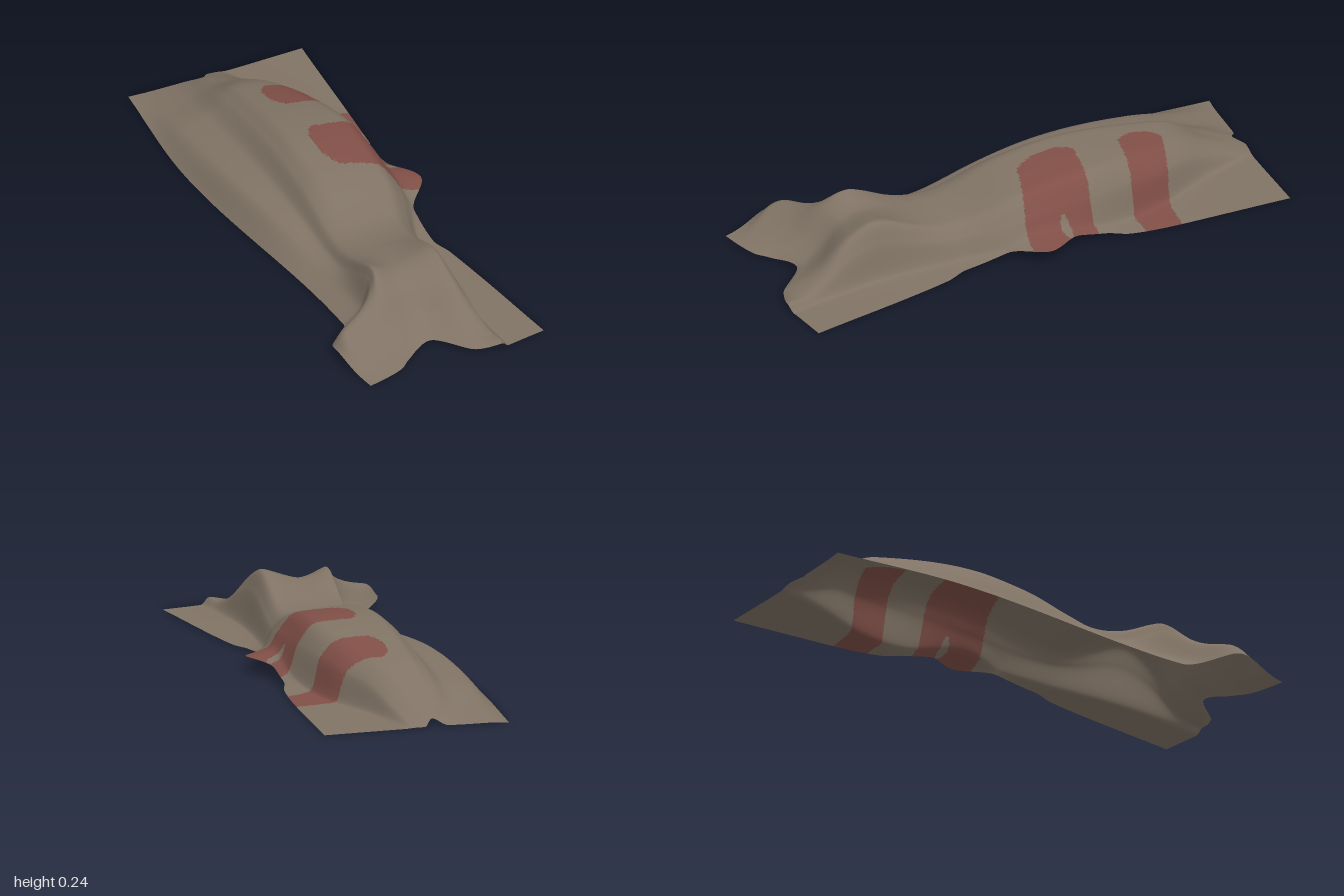
import * as THREE from 'three';

// Smooth curve through [t, value] points, without overshoot
function curve(...p) {
  const n = p.length;
  const d = p.slice(1).map((q, i) => (q[1] - p[i][1]) / (q[0] - p[i][0]));
  const m = p.map((_, i) => {
    if (i === 0) return d[0];
    if (i === n - 1) return d[n - 2];
    return d[i - 1] * d[i] <= 0 ? 0 : (2 * d[i - 1] * d[i]) / (d[i - 1] + d[i]);
  });
  return (t) => {
    let i = 0;
    while (i < n - 2 && t > p[i + 1][0]) i++;
    const h = p[i + 1][0] - p[i][0];
    const s = THREE.MathUtils.clamp((t - p[i][0]) / h, 0, 1);
    const s2 = s * s, s3 = s2 * s;
    return (2 * s3 - 3 * s2 + 1) * p[i][1] + (s3 - 2 * s2 + s) * h * m[i]
      + (3 * s2 - 2 * s3) * p[i + 1][1] + (s3 - s2) * h * m[i + 1];
  };
}
const bump = (centre, width) => (z) => Math.exp(-(((z - centre) / width) ** 2));

// Shapes under the cloth, along z
const spine = curve([-1, 0.005], [-0.85, 0.078], [-0.64, 0.182], [-0.2, 0.243], [0, 0.222], [0.3, 0.138],
  [0.6, 0.18], [0.72, 0.16], [0.86, 0.07], [1, 0]);
const arm = bump(-0.2, 0.45);
const knee = bump(0.61, 0.15);
const toes = bump(0.79, 0.11);
const lift = bump(-0.03, 0.22);
const frontLip = bump(1, 0.06);
const backLip = bump(-1, 0.1);

// Sideways run of the folds, along z
const leftHem = curve([-1, -0.32], [-0.5, -0.36], [0.6, -0.265], [0.77, -0.388], [1, -0.35]);
const leftFlank = (z) => leftHem(z) + 0.075 - 0.03 * toes(z);
const leftRidge = (z) => -0.12 - 0.03 * z;
const rightRidge = curve([-1, 0], [-0.75, 0.03], [-0.5, 0.11], [-0.2, 0.165], [0.08, 0.16], [0.3, 0.115], [1, 0.09]);
const rightDrop = curve([-1, 0.04], [-0.75, 0.1], [-0.5, 0.19], [-0.2, 0.235], [0.08, 0.225], [0.3, 0.17],
  [0.6, 0.145], [1, 0.18]);
const rightHem = curve([-1, 0.382], [-0.34, 0.33], [-0.25, 0.305], [-0.15, 0.305], [0, 0.367],
  [0.14, 0.268], [0.3, 0.26], [0.39, 0.287], [1, 0.37]);

// Lengthwise fold lines, left to right: x and y along z, and the z of both ends
const lines = [
  { x: leftHem, y: (z) => 0.045 * toes(z), back: -1, front: 0.98 },
  { x: leftFlank, y: (z) => 0.33 * spine(z) + 0.02 * arm(z) + 0.05 * toes(z), back: -0.99, front: 0.965 },
  { x: (z) => 0.4 * leftFlank(z) + 0.6 * leftRidge(z),
    y: (z) => 0.5 * spine(z) + 0.08 * knee(z) + 0.02 * toes(z), back: -0.985, front: 0.94 },
  { x: leftRidge, y: (z) => 0.83 * spine(z) + 0.062 * knee(z), back: -0.98, front: 0.9 },
  { x: () => -0.04, y: (z) => spine(z) + 0.02 * backLip(z) + 0.015 * frontLip(z), back: -0.95, front: 0.85 },
  { x: rightRidge, y: (z) => 0.95 * spine(z) + 0.048 * knee(z) + 0.01 * frontLip(z), back: -0.985, front: 0.97 },
  { x: rightDrop, y: (z) => 0.65 * spine(z) + 0.03 * knee(z) + 0.025 * frontLip(z), back: -0.98, front: 1 },
  { x: (z) => rightDrop(z) + 0.04, y: (z) => 0.05 * spine(z) + 0.075 * lift(z), back: -0.975, front: 0.99 },
  { x: rightHem, y: (z) => 0.062 * lift(z), back: -0.97, front: 0.97 },
];

// Pull the ends of a fold line in to its own front and back hem
function hemZ(line, z) {
  const f = Math.max(0, (z - 0.55) / 0.45), b = Math.max(0, (-z - 0.7) / 0.3);
  return z + (line.front - 1) * f + (line.back + 1) * b;
}

// Two slanting stain bands with rounded inner ends; the wider one has a small clean notch
function isStained(x, z) {
  if (x < 0.005) return false;
  const bend = Math.min(x, 0.25);
  const round = Math.min(1, Math.sqrt(x / 0.04));
  const narrow = Math.abs(z + 0.535 - 0.25 * bend) < (0.092 - 0.06 * x) * round;
  const wide = Math.abs(z + 0.145 - 0.25 * bend) < (0.112 + 0.09 * x) * round;
  const notch = Math.hypot((x - 0.285) / 0.035, (z + 0.1) / 0.02) < 1;
  return narrow || (wide && !notch);
}

export function createModel() {
  const cloth = new THREE.MeshStandardMaterial({ color: 0x807365, side: THREE.DoubleSide });
  cloth.name = 'grey brown cloth';
  const stain = new THREE.MeshStandardMaterial({ color: 0x804f47, side: THREE.DoubleSide });
  stain.name = 'dull red stain';

  // Loft the sheet through the fold lines
  const rows = 240, cols = 120, pos = [];
  for (let i = 0; i <= rows; i++) {
    const z = -1 + (2 * i) / rows;
    const px = curve(...lines.map((l, k) => [k, l.x(z)]));
    const py = curve(...lines.map((l, k) => [k, l.y(z)]));
    const pz = curve(...lines.map((l, k) => [k, hemZ(l, z)]));
    for (let j = 0; j <= cols; j++) {
      const u = (j / cols) * (lines.length - 1);
      pos.push(px(u), Math.max(0, py(u)), pz(u));
    }
  }

  // Sort the triangles into clean and stained cloth
  const all = [], clean = [], red = [];
  const add = (...t) => {
    const x = t.reduce((s, v) => s + pos[v * 3], 0) / 3;
    const z = t.reduce((s, v) => s + pos[v * 3 + 2], 0) / 3;
    all.push(...t);
    (isStained(x, z) ? red : clean).push(...t);
  };
  for (let i = 0; i < rows; i++) {
    for (let j = 0; j < cols; j++) {
      const a = i * (cols + 1) + j, b = a + cols + 1;
      add(a, b, a + 1);
      add(b, b + 1, a + 1);
    }
  }

  const sheet = new THREE.BufferGeometry();
  sheet.setAttribute('position', new THREE.Float32BufferAttribute(pos, 3));
  sheet.setIndex(all);
  sheet.computeVertexNormals();

  const group = new THREE.Group();
  group.name = 'drapedSheet';
  for (const [name, index, material] of [['sheet', clean, cloth], ['stains', red, stain]]) {
    const geometry = sheet.clone();
    geometry.setIndex(index);
    const mesh = new THREE.Mesh(geometry, material);
    mesh.name = name;
    group.add(mesh);
  }
  return group;
}
